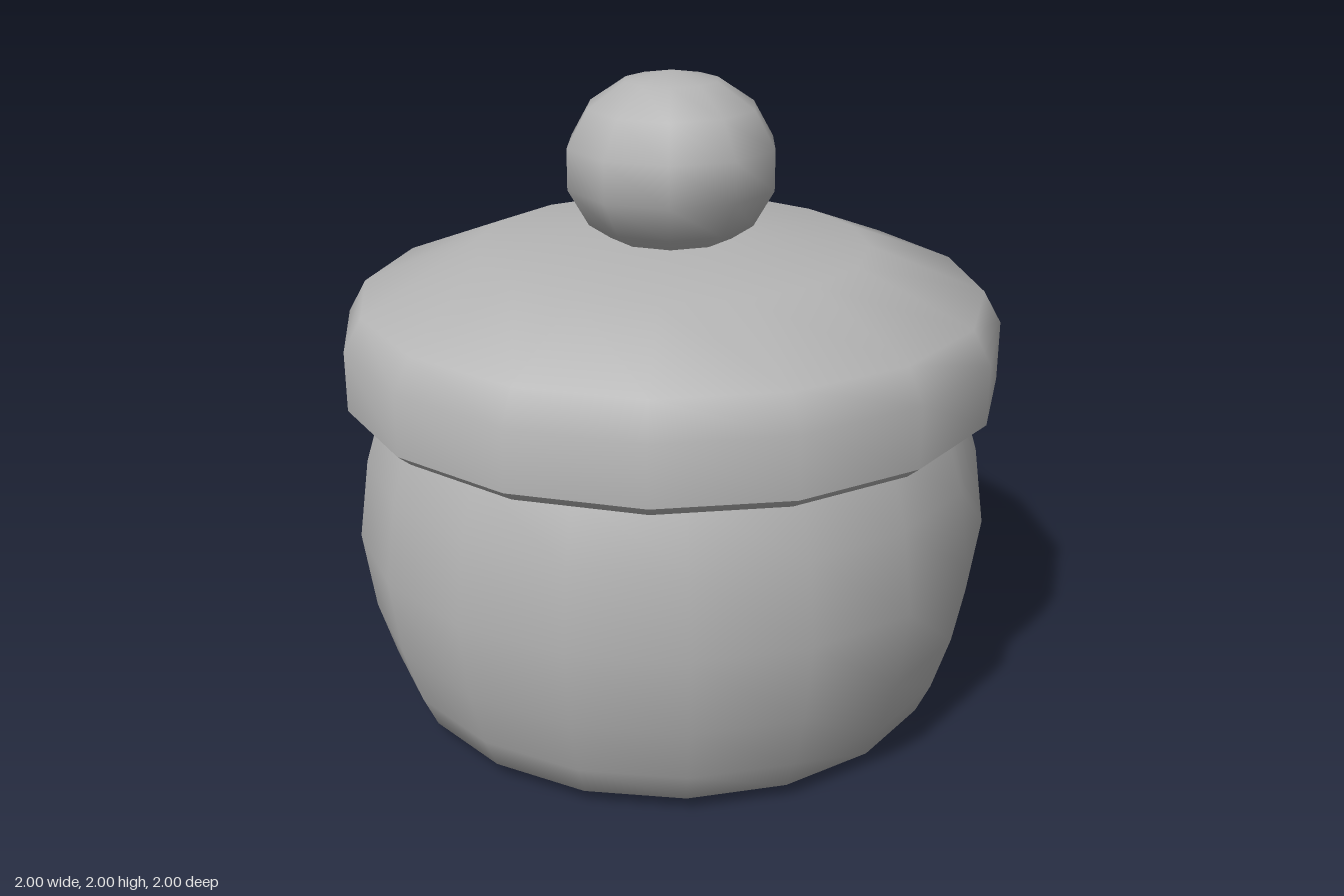
import * as THREE from 'three';
import { toCreasedNormals } from 'three/addons/utils/BufferGeometryUtils.js';

const grey = new THREE.MeshStandardMaterial({ color: 0xb4b4b4 });
grey.name = 'grey';

// Turned part from a [radius, height] profile, listed bottom to top
function turned(name, profile, sides, start, crease) {
  const points = profile.map(([r, y]) => new THREE.Vector2(r, y));
  const geometry = toCreasedNormals(new THREE.LatheGeometry(points, sides, start), crease);
  const mesh = new THREE.Mesh(geometry, grey);
  mesh.name = name;
  return mesh;
}

export function createModel() {
  const group = new THREE.Group();
  group.name = 'liddedJar';

  // Bulging bowl with corners on the x axis
  group.add(turned('bowl', [
    [0, 0], [0.745, 0], [0.865, 0.05], [0.91, 0.15], [0.965, 0.33], [1, 0.58],
    [0.965, 0.83], [0.91, 1.01], [0.86, 1.1], [0, 1.1],
  ], 18, Math.PI / 2, 0.9));

  // Domed lid, flat sides facing the axes (profile measured to the flats)
  const toCorner = 1 / Math.cos(Math.PI / 16);
  group.add(turned('lid', [
    [0, 1.01], [0.96, 1.01], [1, 1.045], [1, 1.23], [0.945, 1.33],
    [0.595, 1.47], [0.2, 1.5], [0, 1.505],
  ].map(([r, y]) => [r * toCorner, y]), 16, Math.PI / 16, 0.8));

  // Flattened ball handle
  const knob = new THREE.Mesh(new THREE.SphereGeometry(0.333, 10, 7), grey);
  knob.name = 'knob';
  knob.scale.y = 0.28 / 0.333;
  knob.position.y = 1.72;
  group.add(knob);

  return group;
}
